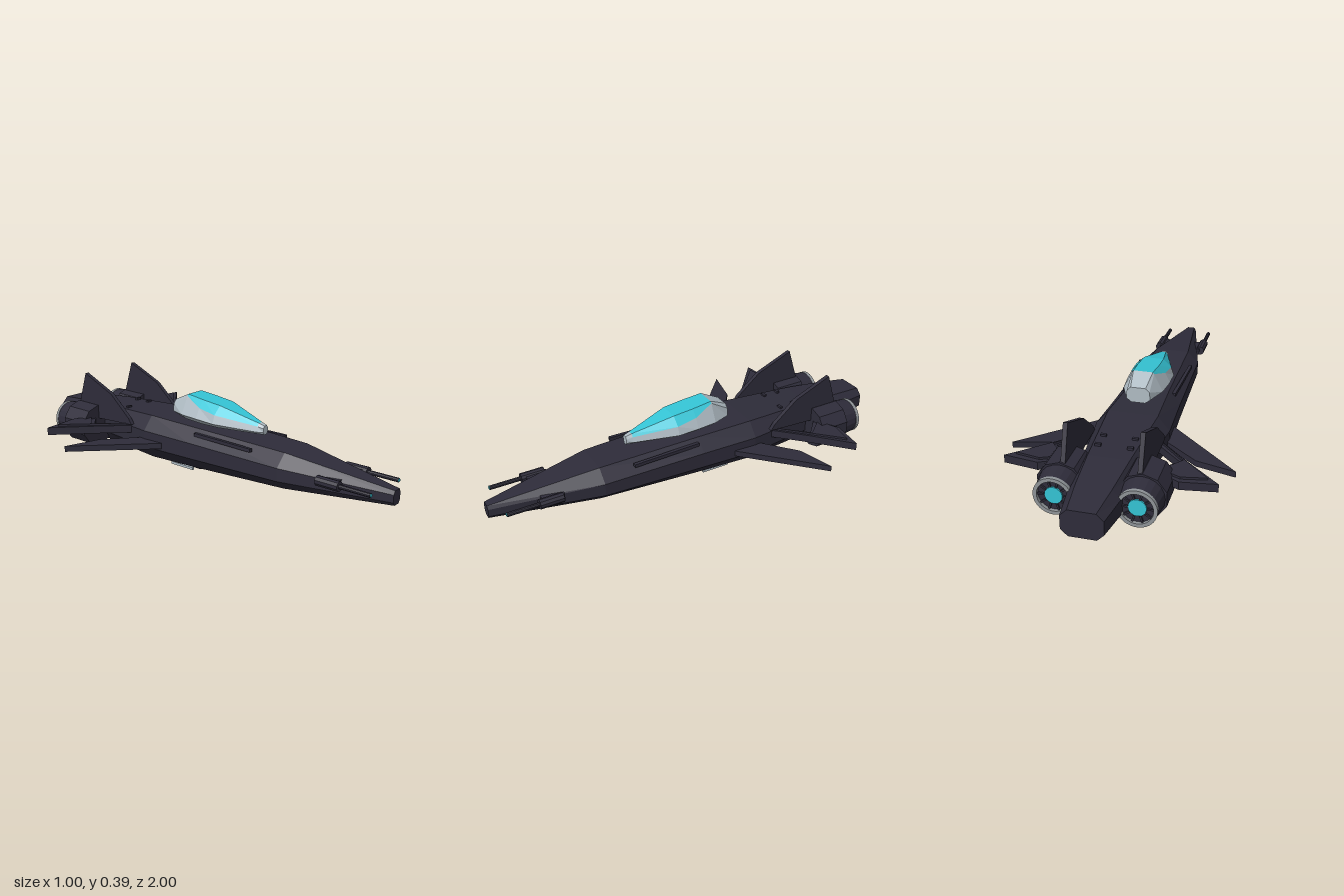
import * as THREE from 'three';

const paint = (name, color, extra = {}) => {
  const m = new THREE.MeshStandardMaterial({ color, flatShading: true, ...extra });
  m.name = name;
  return m;
};

export function createModel() {
  const hull = paint('dark hull', 0x2e2c3a);
  const silver = paint('silver trim', 0xb0bcc4);
  const ring = paint('nozzle grey', 0x8f9498);
  const teal = paint('teal glass', 0x35c5d6);
  const model = new THREE.Group();

  const add = (name, geometry, material, x = 0, y = 0, z = 0) => {
    const mesh = new THREE.Mesh(geometry, material);
    mesh.name = name;
    mesh.position.set(x, y, z);
    model.add(mesh);
    return mesh;
  };
  const box = (name, mat, w, h, d, x, y, z) => add(name, new THREE.BoxGeometry(w, h, d), mat, x, y, z);
  // cylinder lying along z, from z0 (front) back to z1
  const tube = (name, mat, rFront, rBack, z0, z1, x, y, sides) =>
    add(name, new THREE.CylinderGeometry(rFront, rBack, z0 - z1, sides).rotateX(Math.PI / 2), mat, x, y, (z0 + z1) / 2);
  const outline = (pts) => new THREE.Shape(pts.map(([a, b]) => new THREE.Vector2(a, b)));

  // full ring from the right-hand half, listed bottom to top
  const ringOf = ([z, ...half]) => {
    const pts = [];
    for (let i = 0; i < half.length; i += 2) pts.push([half[i], half[i + 1], z]);
    return [...pts, ...pts.slice().reverse().map(([x, y]) => [-x, y, z])];
  };
  // skin between sections ordered front to back; slot(i, j) picks the material
  const loft = (sections, slot = () => 0) => {
    const rings = sections.map(ringOf), n = rings[0].length, faces = [[], []];
    for (let i = 0; i < rings.length - 1; i++) {
      for (let j = 0; j < n; j++) {
        const k = (j + 1) % n;
        const a = rings[i][j], b = rings[i][k], c = rings[i + 1][k], d = rings[i + 1][j];
        faces[slot(i, j)].push(a, d, b, b, d, c);
      }
    }
    const last = rings[rings.length - 1];
    for (let j = 1; j < n - 1; j++) {
      faces[0].push(rings[0][0], rings[0][j], rings[0][j + 1]);
      faces[0].push(last[0], last[j + 1], last[j]);
    }
    const g = new THREE.BufferGeometry();
    g.setAttribute('position', new THREE.Float32BufferAttribute(faces.flat(2), 3));
    g.addGroup(0, faces[0].length, 0);
    g.addGroup(faces[0].length, faces[1].length, 1);
    g.computeVertexNormals();
    return g;
  };

  // fuselage: z, then half section (x, y)
  add('fuselage', loft([
    [1, 0.016, 0.083, 0.027, 0.098, 0.027, 0.132, 0.018, 0.148],
    [0.5, 0.085, 0.047, 0.14, 0.095, 0.14, 0.155, 0.085, 0.212],
    [0, 0.1, 0.027, 0.156, 0.088, 0.156, 0.163, 0.1, 0.224],
    [-0.28, 0.112, 0.022, 0.17, 0.088, 0.17, 0.168, 0.115, 0.234],
    [-0.65, 0.09, 0.038, 0.127, 0.09, 0.127, 0.168, 0.09, 0.22],
    [-0.85, 0.075, 0.053, 0.11, 0.095, 0.11, 0.165, 0.075, 0.205],
    [-1, 0.058, 0.07, 0.088, 0.1, 0.088, 0.16, 0.058, 0.19],
  ]), [hull, hull]);

  // canopy: silver frame with teal upper panes
  add('canopy', loft([
    [0.33, 0.008, 0.238, 0.016, 0.25, 0.016, 0.268, 0.009, 0.28],
    [0.3, 0.015, 0.238, 0.03, 0.25, 0.022, 0.274, 0.012, 0.288],
    [0.1, 0.065, 0.238, 0.1, 0.262, 0.087, 0.302, 0.048, 0.34],
    [0, 0.068, 0.238, 0.104, 0.268, 0.08, 0.316, 0.05, 0.35],
    [-0.1, 0.06, 0.24, 0.094, 0.268, 0.052, 0.352, 0.046, 0.36],
    [-0.19, 0.032, 0.244, 0.056, 0.262, 0.053, 0.3, 0.035, 0.318],
  ], (i, j) => (i > 0 && i < 4 && j >= 2 && j <= 4 ? 1 : 0)), [silver, teal]);

  // belly hatch
  box('bellyHatch', hull, 0.14, 0.024, 0.22, 0, 0.022, -0.11);

  const wing = (name, s, pts, top, thick) => add(name,
    new THREE.ExtrudeGeometry(outline(pts.map(([x, z]) => [s * x, z])), { depth: thick, bevelEnabled: false })
      .rotateX(Math.PI / 2), hull, 0, top, 0);

  for (const s of [1, -1]) {
    const side = s > 0 ? 'left' : 'right';

    // swept wings
    wing(side + 'FrontWing', s, [[0.12, -0.15], [0.17, -0.17], [0.5, -0.48], [0.32, -0.435], [0.165, -0.31], [0.12, -0.28]], 0.128, 0.028);
    const rear = [[0.1, -0.34], [0.15, -0.375], [0.29, -0.51], [0.458, -0.66], [0.3, -0.682], [0.18, -0.62], [0.27, -0.53], [0.15, -0.415], [0.1, -0.38]];
    wing(side + 'RearWing', s, rear, 0.172, 0.037);
    wing(side + 'RearWingPanel', s, [[0.15, -0.39], [0.285, -0.52], [0.41, -0.64], [0.3, -0.66], [0.21, -0.62], [0.285, -0.53]], 0.182, 0.012);

    // upright tail fin
    add(side + 'TailFin', new THREE.ExtrudeGeometry(
      outline([[-0.37, 0.18], [-0.39, 0.21], [-0.51, 0.31], [-0.7, 0.388], [-0.755, 0.22], [-0.755, 0.16]]),
      { depth: 0.02, bevelEnabled: false }).rotateY(-Math.PI / 2), hull, s * 0.16 + 0.01, 0, 0);

    // engine: cowl, nozzle, grey rim, spokes and glowing core
    const ex = s * 0.172, ey = 0.132;
    tube(side + 'EngineCowl', hull, 0.104, 0.104, -0.61, -0.76, ex, ey, 10);
    tube(side + 'EngineNozzle', hull, 0.093, 0.083, -0.76, -0.835, ex, ey, 20);
    const rim = new THREE.Shape().absarc(0, 0, 0.084, 0, Math.PI * 2);
    rim.holes.push(new THREE.Path().absarc(0, 0, 0.068, 0, Math.PI * 2, true));
    add(side + 'NozzleRim', new THREE.ExtrudeGeometry(rim, { depth: 0.016, bevelEnabled: false, curveSegments: 20 }), ring, ex, ey, -0.851);
    for (let i = 0; i < 10; i++) {
      const a = (i / 10) * Math.PI * 2;
      box(side + 'NozzleSpoke', hull, 0.03, 0.008, 0.008, ex + Math.cos(a) * 0.054, ey + Math.sin(a) * 0.054, -0.839).rotation.z = a;
    }
    tube(side + 'EngineGlow', teal, 0.038, 0.038, -0.834, -0.842, ex, ey, 16);

    // nose cannon
    const gx = s * 0.113, gy = 0.142;
    tube(side + 'CannonBody', hull, 0.023, 0.023, 0.8, 0.69, gx, gy, 10);
    box(side + 'CannonMount', hull, 0.05, 0.032, 0.1, s * 0.085, gy - 0.004, 0.73);
    tube(side + 'CannonBarrel', hull, 0.01, 0.01, 0.945, 0.79, gx, gy, 10);
    tube(side + 'CannonMuzzle', teal, 0.007, 0.007, 0.948, 0.942, gx, gy, 10);

    // hull details
    box(side + 'ShoulderStrip', hull, 0.016, 0.016, 0.34, s * 0.126, 0.2, 0.18).rotation.y = s * 0.03;
    for (const z of [-0.49, -0.57]) box(side + 'DeckVent', hull, 0.026, 0.012, 0.014, s * 0.07, 0.229, z);
    box(side + 'BellyRail', silver, 0.011, 0.012, 0.14, s * 0.079, 0.006, -0.11);
  }
  return model;
}
